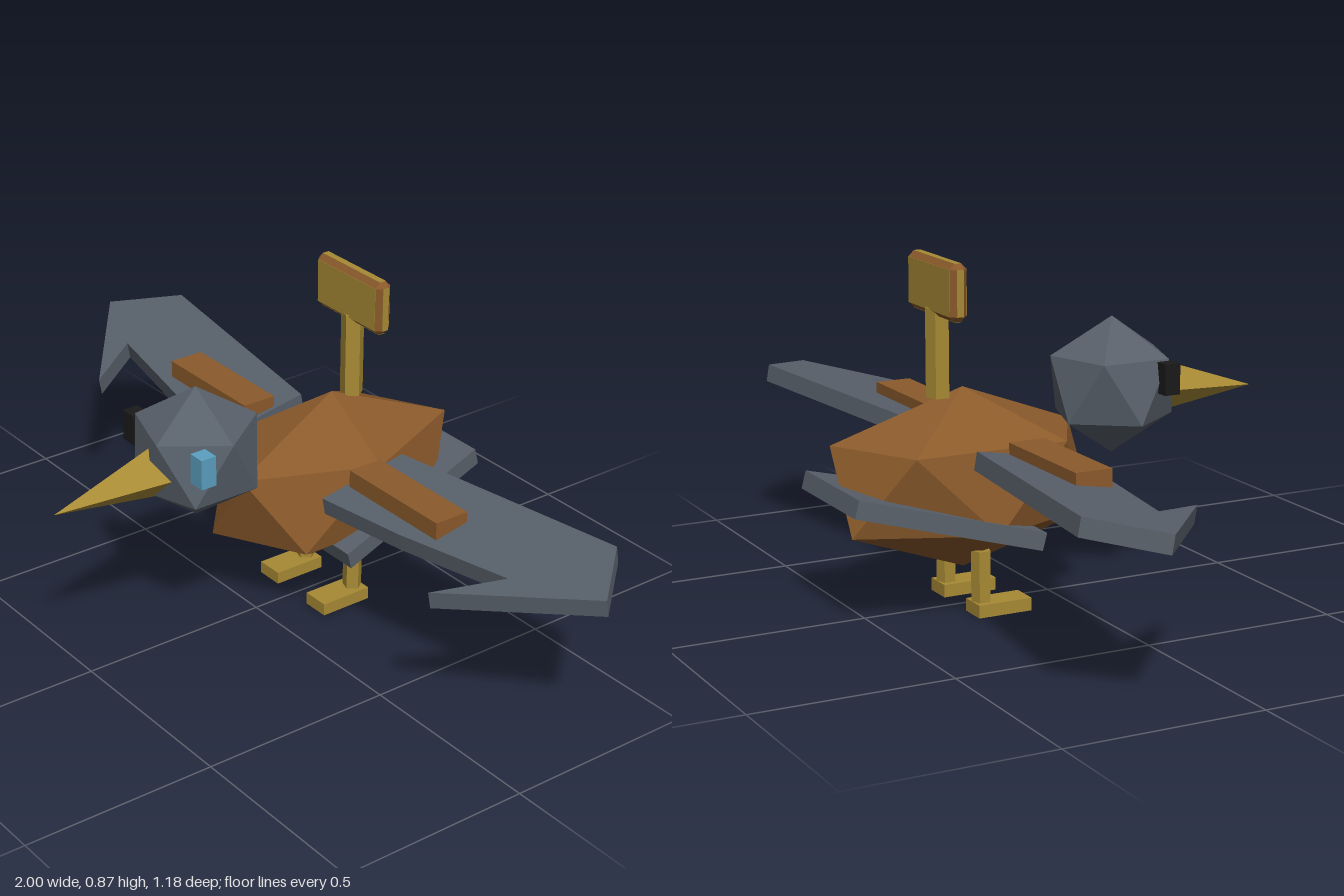
import * as THREE from 'three';
import { ConvexGeometry } from 'three/addons/geometries/ConvexGeometry.js';

const paint = (color) => new THREE.MeshStandardMaterial({ color, flatShading: true });

export function createModel() {
  const model = new THREE.Group();
  const brown = paint(0x8b5a2b), gold = paint(0xa88a35), grey = paint(0x58606a);
  const blue = paint(0x5b9fc0), black = paint(0x1a1a1a);

  const add = (name, geometry, material, x, y, z, parent = model) => {
    const mesh = new THREE.Mesh(geometry, material);
    mesh.name = name;
    mesh.position.set(x, y, z);
    parent.add(mesh);
    return mesh;
  };
  const box = (w, h, d) => new THREE.BoxGeometry(w, h, d);

  // Icosahedron standing on a point, stretched per axis
  const gem = (rx, ry, rz) => new THREE.IcosahedronGeometry(1, 0)
    .rotateZ(-Math.atan(2 / (1 + Math.sqrt(5)))).scale(rx, ry, rz);

  // Five-sided rod with one edge towards +x
  const rod = (r, h) => new THREE.CylinderGeometry(r, r, h, 5, 1, false, Math.PI / 2);

  // Flat slab from an outline of [x, z] points, centred on y = 0
  const slab = (points, thickness) => {
    const shape = new THREE.Shape(points.map(([x, z]) => new THREE.Vector2(x, -z)));
    return new THREE.ExtrudeGeometry(shape, { depth: thickness, bevelEnabled: false })
      .rotateX(-Math.PI / 2).translate(0, -thickness / 2, 0);
  };

  // Body and head
  add('body', gem(0.225, 0.225, 0.379), brown, 0, 0.32, -0.233);
  add('head', gem(0.173, 0.173, 0.173), grey, 0, 0.508, 0.18);

  // Beak: four-sided cone pointing forward and slightly down
  const beakLength = 0.32;
  const beak = add('beak', new THREE.ConeGeometry(0.078, beakLength, 4)
    .translate(0, -beakLength / 2, 0).rotateX(Math.PI / 2), gold, 0, 0.465, 0.587);
  beak.rotation.x = 0.09;

  // Tail: tapered slab rising to the back
  const tail = add('tail', slab([[-0.22, 0.238], [0.22, 0.238], [0.16, -0.238], [-0.16, -0.238]], 0.045),
    grey, 0, 0.2575, -0.354);
  tail.rotation.x = THREE.MathUtils.degToRad(15);

  // Paired parts
  const wingOutline = [[0.205, -0.115], [0.87, -0.205], [1.0, -0.05], [0.68, 0.203],
    [0.775, 0.045], [0.46, 0.105], [0.205, 0.137]];
  for (const [side, s] of [['left', 1], ['right', -1]]) {
    const wing = add(side + 'Wing', slab(wingOutline.map(([x, z]) => [s * x, z]), 0.045),
      grey, 0, 0.393, -0.187);
    wing.rotation.x = THREE.MathUtils.degToRad(10);
    add(side + 'WingBar', box(0.325, 0.045, 0.094), brown, s * 0.378, 0.427, -0.17);
    add(side + 'Eye', box(0.045, 0.078, 0.042), s > 0 ? blue : black, s * 0.142, 0.542, 0.259);
    add(side + 'Leg', rod(0.025, 0.135), gold, s * 0.097, 0.0925, -0.233);
    add(side + 'Foot', box(0.073, 0.032, 0.142), gold, s * 0.097, 0.016, -0.186);
  }

  // Winding key: shaft and chamfered handle with gold faces
  const key = new THREE.Group();
  key.name = 'windingKey';
  key.position.set(0, 0, -0.297);
  model.add(key);
  add('keyShaft', rod(0.03, 0.22), gold, 0, 0.635, 0, key);
  const half = [0.125, 0.069, 0.022], chamfer = 0.013;
  const corners = [];
  for (let axis = 0; axis < 3; axis++) {
    const size = half.map((h, i) => (i === axis ? h : h - chamfer));
    for (const sx of [-1, 1]) for (const sy of [-1, 1]) for (const sz of [-1, 1])
      corners.push(new THREE.Vector3(sx * size[0], sy * size[1], sz * size[2]));
    const [w, h, d] = size.map((v, i) => 2 * v + (i === axis ? 0.002 : 0));
    add('keyHandleFaces', box(w, h, d), gold, 0, 0.796, 0, key);
  }
  add('keyHandleEdge', new ConvexGeometry(corners), brown, 0, 0.796, 0, key);

  return model;
}
